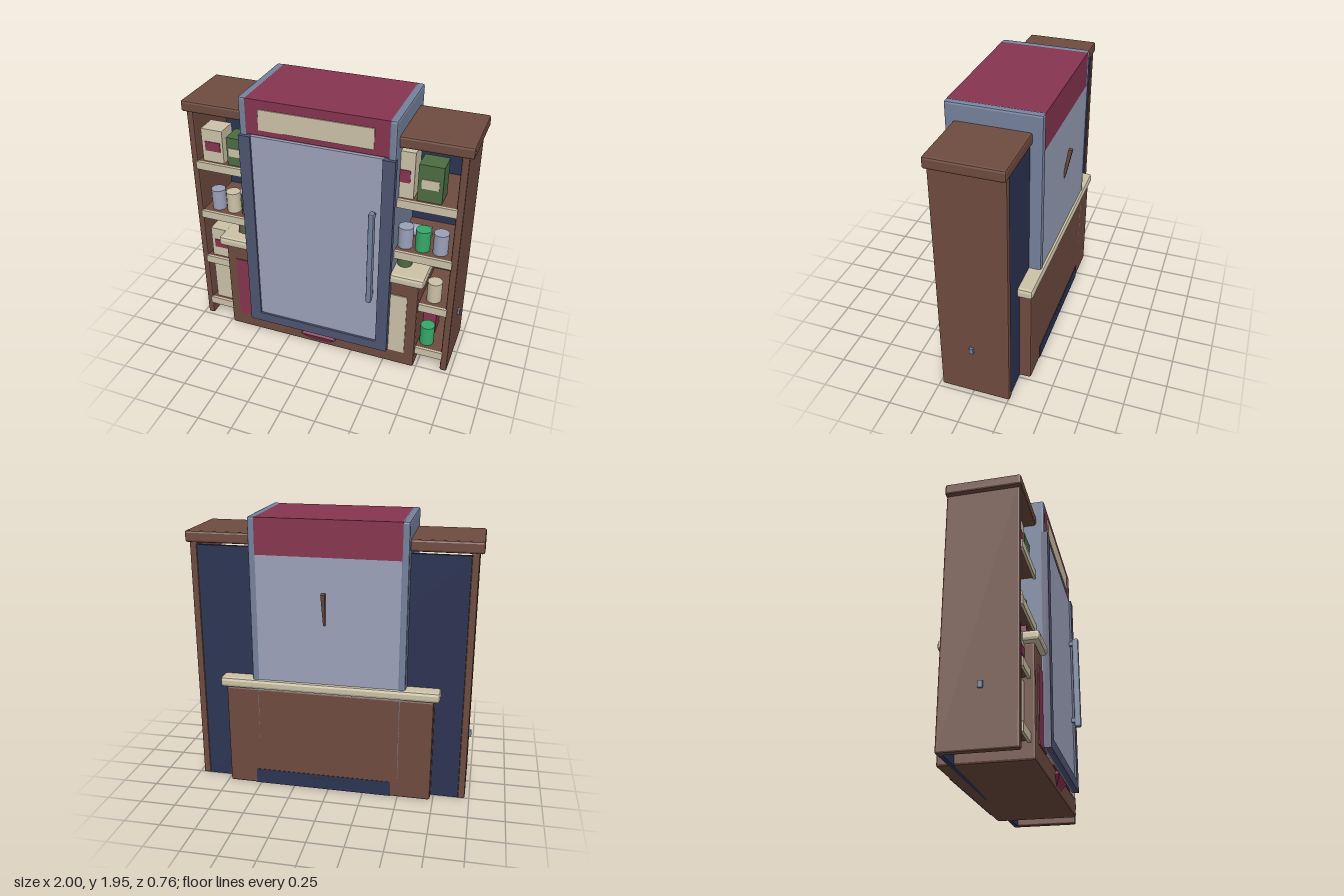
import * as THREE from 'three';
import { RoundedBoxGeometry } from 'three/addons/geometries/RoundedBoxGeometry.js';

const mat = (name, color) => {
  const m = new THREE.MeshStandardMaterial({ color });
  m.name = name;
  return m;
};

export function createModel() {
  const wood = mat('wood brown', 0x6e4b3f);
  const cream = mat('cream', 0xccc2a7);
  const maroon = mat('maroon', 0x86344f);
  const silver = mat('silver', 0x9ba1b9);
  const steel = mat('steel blue', 0x75819c);
  const slate = mat('slate', 0x4f5472);
  const navy = mat('navy', 0x2c3453);
  const green = mat('leaf green', 0x4d6b41);
  const bright = mat('bright green', 0x36a96a);

  const model = new THREE.Group();
  model.name = 'shelvedFridgeCabinet';

  const add = (name, geometry, material, parent = model) => {
    const mesh = new THREE.Mesh(geometry, material);
    mesh.name = name;
    parent.add(mesh);
    return mesh;
  };
  // box from its limits on each axis, chamfered when bevel > 0
  const box = (name, material, [x0, x1], [y0, y1], [z0, z1], bevel = 0, parent = model) => {
    const w = x1 - x0, h = y1 - y0, d = z1 - z0;
    let g = new THREE.BoxGeometry(w, h, d);
    if (bevel) {
      g = new RoundedBoxGeometry(w, h, d, 1, bevel);
      if (g.index) g = g.toNonIndexed();
      g.computeVertexNormals();
    }
    g.translate((x0 + x1) / 2, (y0 + y1) / 2, (z0 + z1) / 2);
    return add(name, g, material, parent);
  };
  const group = (name) => {
    const g = new THREE.Group();
    g.name = name;
    model.add(g);
    return g;
  };

  // shelf cabinet
  const cabinet = group('cabinet');
  box('cabinetTop', wood, [-1, 1], [1.75, 1.83], [-0.265, 0.245], 0.015, cabinet);
  box('backPanel', navy, [-0.93, 0.93], [0, 1.735], [-0.25, -0.22], 0, cabinet);
  for (const s of [-1, 1]) {
    const x = s > 0 ? [0.92, 0.97] : [-0.97, -0.92];
    box('sidePanel', wood, x, [0, 1.76], [-0.26, 0.23], 0.012, cabinet);
    const k = s > 0 ? [0.965, 0.987] : [-0.987, -0.965];
    box('sideKnob', steel, k, [0.37, 0.413], [-0.014, 0.014], 0, cabinet);
  }
  const shelfTops = [0.165, 0.565, 0.97, 1.375];
  for (const y of shelfTops) {
    box('shelf', wood, [-0.92, 0.92], [y - 0.045, y], [-0.22, 0.225], 0, cabinet);
    box('shelfLip', cream, [-0.93, 0.93], [y - 0.057, y + 0.003], [0.222, 0.24], 0, cabinet);
  }
  // cord sagging between the side knobs
  const cord = new THREE.QuadraticBezierCurve3(
    new THREE.Vector3(-0.96, 0.39, 0), new THREE.Vector3(0, 0.22, 0), new THREE.Vector3(0.96, 0.39, 0));
  add('cord', new THREE.TubeGeometry(cord, 24, 0.007, 6), cream, cabinet);

  // counter with striped front
  const counter = group('counter');
  box('counterBody', wood, [-0.73, 0.73], [0, 0.75], [-0.333, 0.27], 0.015, counter);
  box('counterTop', cream, [-0.77, 0.77], [0.745, 0.818], [-0.35, 0.308], 0.022, counter);
  for (let i = 0; i < 6; i++) {
    const x = -0.655 + i * 0.2185;
    box('stripe', i % 2 ? cream : maroon, [x, x + 0.2185], [0.12, 0.63], [0.268, 0.277], 0, counter);
  }
  box('rearKick', navy, [-0.45, 0.53], [0.005, 0.115], [-0.336, -0.33], 0, counter);
  // tapered tray running through the counter base
  const tray = (name, y0, y1, x0, x1, z0, z1) => {
    const g = new THREE.CylinderGeometry(x1 * Math.SQRT2, x0 * Math.SQRT2, y1 - y0, 4).toNonIndexed();
    g.rotateY(Math.PI / 4);
    const p = g.attributes.position;
    for (let i = 0; i < p.count; i++) {
      p.setZ(i, Math.sign(p.getZ(i)) * (p.getY(i) > 0 ? z1 : z0) - 0.0175);
    }
    g.translate(0, (y0 + y1) / 2, 0);
    g.computeVertexNormals();
    add(name, g, maroon, counter);
  };
  tray('trayLower', 0.02, 0.088, 0.07, 0.135, 0.285, 0.319);
  tray('trayUpper', 0.088, 0.135, 0.135, 0.09, 0.319, 0.285);

  // fridge body
  const fridge = group('fridge');
  box('fridgeCore', silver, [-0.49, 0.49], [0.135, 1.71], [-0.33, 0.285], 0, fridge);
  box('fridgeCap', maroon, [-0.49, 0.49], [1.7, 1.948], [-0.331, 0.3], 0, fridge);
  box('signPlate', cream, [-0.395, 0.39], [1.74, 1.885], [0.3, 0.307], 0, fridge);
  for (const s of [-1, 1]) {
    const x = s > 0 ? [0.48, 0.535] : [-0.535, -0.48];
    box('fridgeSide', steel, x, [0.135, 1.952], [-0.333, 0.303], 0.015, fridge);
  }
  // door
  const door = group('door');
  for (const x of [[-0.537, -0.453], [0.453, 0.537]]) {
    box('doorStile', slate, x, [0.135, 1.69], [0.28, 0.325], 0, door);
  }
  box('doorBottomRail', slate, [-0.453, 0.453], [0.135, 0.21], [0.28, 0.325], 0, door);
  box('doorPanel', silver, [-0.453, 0.453], [0.21, 1.69], [0.28, 0.31], 0, door);
  box('doorHandle', steel, [0.385, 0.425], [0.59, 1.315], [0.33, 0.38], 0.012, door);
  for (const y of [0.63, 1.26]) {
    box('handleMount', steel, [0.392, 0.418], [y, y + 0.03], [0.305, 0.34], 0, door);
  }
  // tapered lever on the back
  const leverGeo = new THREE.CylinderGeometry(0.02, 0.01, 0.23, 4).toNonIndexed();
  leverGeo.rotateY(Math.PI / 4);
  leverGeo.computeVertexNormals();
  const lever = add('backLever', leverGeo, wood, fridge);
  lever.position.set(0.02, 1.353, -0.35);
  lever.rotation.x = -0.17;

  // goods on the shelves
  const goods = group('goods');
  const carton = (material, labelMat, x, y, z, label) => {
    box('carton', material, x, y, z, 0, goods);
    if (label) box('cartonLabel', labelMat, label[0], label[1], [z[1] - 0.001, z[1] + 0.005], 0, goods);
  };
  const zBox = [0.05, 0.2];
  carton(cream, maroon, [-0.89, -0.73], [1.375, 1.622], zBox, [[-0.865, -0.75], [1.46, 1.53]]);
  carton(green, cream, [-0.7, -0.545], [1.375, 1.585], zBox, [[-0.685, -0.565], [1.445, 1.507]]);
  carton(cream, maroon, [0.47, 0.632], [1.375, 1.71], zBox, [[0.49, 0.605], [1.49, 1.58]]);
  carton(green, cream, [0.655, 0.82], [1.375, 1.638], zBox, [[0.68, 0.795], [1.47, 1.537]]);
  carton(cream, maroon, [-0.89, -0.73], [0.565, 0.805], zBox, [[-0.865, -0.735], [0.645, 0.71]]);
  carton(maroon, green, [-0.655, -0.5], [0.565, 0.912], zBox, [[-0.635, -0.52], [0.7, 0.897]]);
  carton(cream, cream, [-0.89, -0.73], [0.165, 0.492], zBox);
  carton(maroon, maroon, [0.72, 0.825], [0.165, 0.352], [-0.1, 0.03]);

  const cans = [
    [silver, -0.83, 0.97], [cream, -0.71, 0.97], [green, -0.59, 0.97],
    [silver, 0.585, 0.97], [bright, 0.705, 0.97], [silver, 0.828, 0.97],
    [green, 0.59, 0.75], [cream, 0.815, 0.565], [bright, 0.79, 0.165],
  ];
  for (const [m, x, y] of cans) {
    const can = add('can', new THREE.CylinderGeometry(0.052, 0.052, 0.155, 16), m, goods);
    can.position.set(x, y + 0.0775, 0.14);
  }
  // cans lying on their sides at the back
  for (const x of [-0.66, 0.66]) {
    const can = add('lyingCan', new THREE.CylinderGeometry(0.045, 0.045, 0.14, 10), silver, goods);
    can.rotation.z = Math.PI / 2;
    can.position.set(x, 1.015, 0);
  }
  return model;
}
